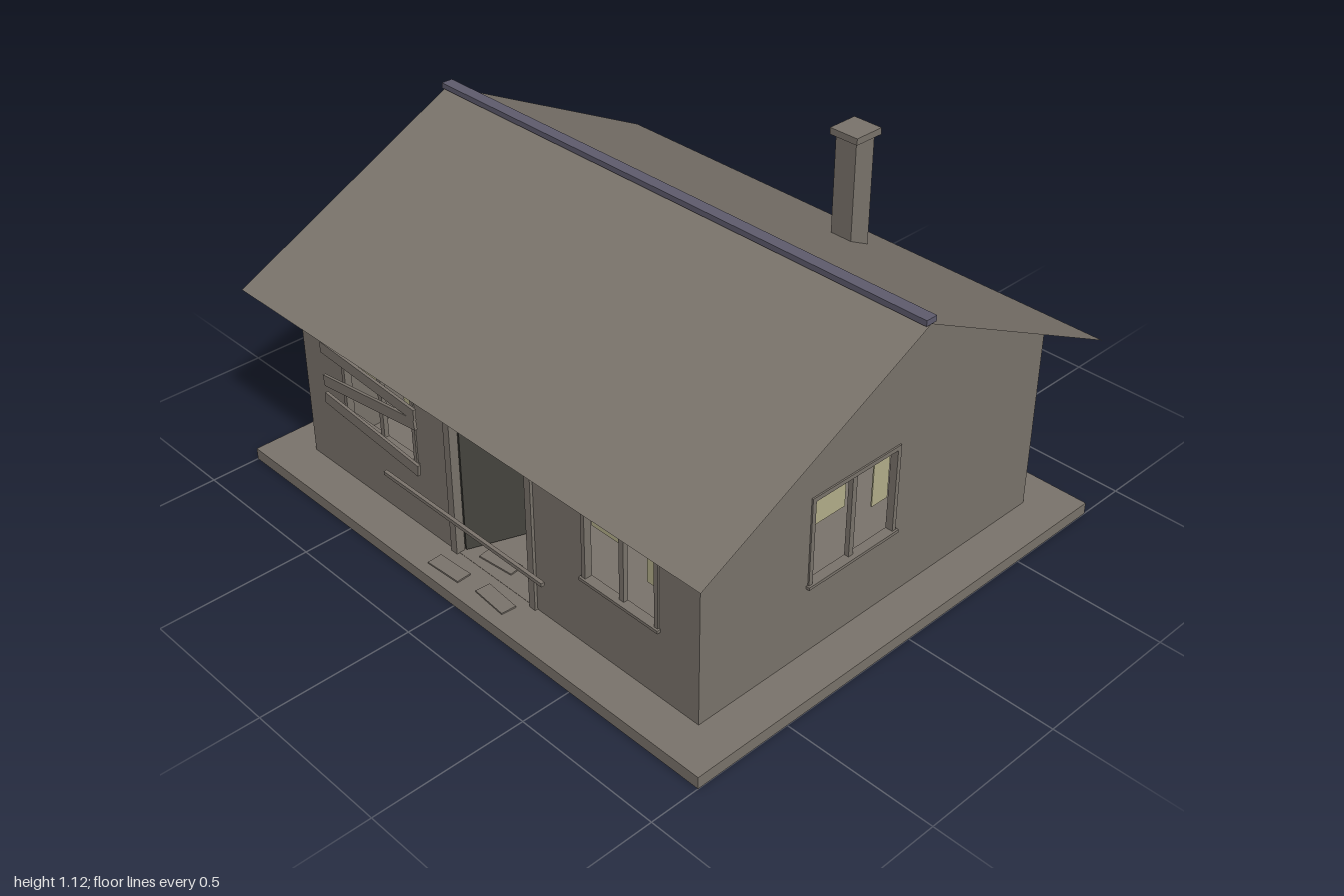
import * as THREE from 'three';

const mat = (name, color, side = THREE.FrontSide) => {
  const m = new THREE.MeshStandardMaterial({ color, side });
  m.name = name;
  return m;
};

export function createModel() {
  const house = new THREE.Group();
  house.name = 'house';
  const stone = mat('weatheredGrey', 0x7b746c);
  const roofing = mat('roofGrey', 0x7b746c, THREE.DoubleSide);
  const ridgeBlue = mat('ridgeBlueGrey', 0x5f5c6e);
  const doorDark = mat('darkDoor', 0x45443e);
  const cloth = mat('paleBlind', 0xb5b08b, THREE.DoubleSide);

  const add = (parent, name, geo, material, x = 0, y = 0, z = 0) => {
    const m = new THREE.Mesh(geo, material);
    m.name = name;
    m.position.set(x, y, z);
    parent.add(m);
    return m;
  };
  // Box given by its minimum and maximum corners
  const box = (parent, name, material, [x0, y0, z0], [x1, y1, z1]) =>
    add(parent, name, new THREE.BoxGeometry(x1 - x0, y1 - y0, z1 - z0), material,
      (x0 + x1) / 2, (y0 + y1) / 2, (z0 + z1) / 2);

  const T = 0.02, BASE = 0.04, EAVE = 0.69, TOP = 1.04;
  const Y0 = 0.28, Y1 = 0.558;

  box(house, 'foundation', stone, [-1, 0, -0.835], [1, BASE, 0.835]);

  // Frame, sill, centre post and blinds; local z = 0 is the outer wall face
  function addWindow(wall, cx, hw, narrowSide) {
    const w = new THREE.Group();
    w.name = 'window';
    w.position.x = cx;
    wall.add(w);
    const f = 0.014;
    for (const s of [-1, 1]) {
      const a = s * hw, b = s * (hw + f);
      box(w, 'frameSide', stone, [Math.min(a, b), Y0, -T], [Math.max(a, b), Y1, 0.005]);
    }
    box(w, 'frameTop', stone, [-hw - f, Y1, -T], [hw + f, Y1 + f, 0.005]);
    box(w, 'sill', stone, [-hw - 0.02, Y0 - 0.01, -T], [hw + 0.02, Y0, 0.012]);
    box(w, 'centrePost', stone, [-0.009, Y0, -T], [0.009, Y1, -0.004]);
    // One wide short blind and one narrow long blind
    const blind = (name, a, b, low) => {
      const x0 = Math.min(a, b) * narrowSide, x1 = Math.max(a, b) * narrowSide;
      box(w, name, cloth, [Math.min(x0, x1), low, -T - 0.006], [Math.max(x0, x1), Y1, -T - 0.002]);
    };
    blind('wideBlind', -hw, -0.1 * hw, 0.45);
    blind('narrowBlind', 0.6 * hw, hw, 0.385);
  }

  // Wall panel with openings, extruded inward from its outer face
  function addWall(name, outline, angle, distance, windows, door) {
    const wall = new THREE.Group();
    wall.name = name;
    wall.rotation.y = angle;
    wall.position.set(Math.sin(angle) * distance, 0, Math.cos(angle) * distance);
    house.add(wall);
    const shape = new THREE.Shape(outline.map(p => new THREE.Vector2(...p)));
    for (const [cx, hw, side] of windows) {
      shape.holes.push(new THREE.Path([
        new THREE.Vector2(cx - hw, Y0), new THREE.Vector2(cx - hw, Y1),
        new THREE.Vector2(cx + hw, Y1), new THREE.Vector2(cx + hw, Y0)]));
      addWindow(wall, cx, hw, side);
    }
    if (door) {
      shape.holes.push(new THREE.Path(door.map(p => new THREE.Vector2(...p))));
    }
    add(wall, name + 'Panel',
      new THREE.ExtrudeGeometry(shape, { depth: T, bevelEnabled: false }), stone, 0, 0, -T);
    return wall;
  }

  const L = 0.865 - T, D = 0.7;
  const long = [[-L, BASE], [L, BASE], [L, EAVE - 0.004], [-L, EAVE - 0.004]];
  const gable = [[-D, BASE], [D, BASE], [D, EAVE - 0.004], [0, TOP - 0.004], [-D, EAVE - 0.004]];
  const doorway = [[-0.14, BASE + 0.001], [-0.14, 0.61], [0.19, 0.61], [0.19, BASE + 0.001]];
  const front = addWall('frontWall', long, 0, D,
    [[-0.4875, 0.163, 1], [0.565, 0.135, 1]], doorway);
  addWall('backWall', long, Math.PI, D, [[0, 0.21, -1]]);
  addWall('leftWall', gable, Math.PI / 2, 0.865, [[-0.11, 0.165, 1]]);
  addWall('rightWall', gable, -Math.PI / 2, 0.865, [[0.11, 0.165, -1]]);

  // Door frame and the door standing open inward
  box(front, 'doorPostRight', stone, [-0.165, BASE, -T], [-0.138, 0.635, 0.01]);
  box(front, 'doorPostLeft', stone, [0.19, BASE, -T], [0.215, 0.635, 0.01]);
  box(front, 'doorLintel', stone, [-0.138, 0.61, -T], [0.19, 0.635, 0.01]);
  const hinge = new THREE.Group();
  hinge.name = 'openDoor';
  hinge.position.set(-0.135, 0, -T);
  hinge.rotation.y = 1.22;
  front.add(hinge);
  box(hinge, 'doorLeaf', doorDark, [0, BASE + 0.008, -0.008], [0.32, 0.585, 0.008]);

  // Roof slopes as thin sheets meeting at the ridge
  const roof = new THREE.BufferGeometry();
  const e = TOP - 0.82 * 0.5, rx = 0.985;
  roof.setAttribute('position', new THREE.Float32BufferAttribute([
    -rx, e, 0.82, rx, e, 0.82, rx, TOP, 0, -rx, TOP, 0,
    rx, e, -0.82, -rx, e, -0.82, -rx, TOP, 0, rx, TOP, 0], 3));
  roof.setIndex([0, 1, 2, 0, 2, 3, 4, 5, 6, 4, 6, 7]);
  roof.computeVertexNormals();
  add(house, 'roof', roof, roofing);
  box(house, 'ridgeCap', ridgeBlue, [-rx, TOP, -0.02], [rx, TOP + 0.018, 0.02]);

  // Chimney
  box(house, 'chimney', stone, [0.173, 0.7, -0.62], [0.253, 1.1, -0.54]);
  box(house, 'chimneyCap', stone, [0.16, 1.1, -0.635], [0.266, 1.122, -0.527]);

  // Crooked boards nailed over the window: heights at the two ends
  for (const [ya, yb] of [[0.513, 0.487], [0.393, 0.455], [0.33, 0.29]]) {
    const board = add(house, 'windowBoard', new THREE.BoxGeometry(0.455, 0.038, 0.01), stone,
      -0.49, (ya + yb) / 2, 0.733);
    board.rotation.z = Math.atan2(yb - ya, 0.45);
  }
  // Loose rail across the doorway
  const rail = add(house, 'doorRail', new THREE.BoxGeometry(0.7, 0.012, 0.012), stone, 0.027, 0.291, 0.81);
  rail.rotation.z = -0.006;

  // Thin loose planks on the ground by the door
  for (const [x, z, turn] of [[-0.02, 0.64, 0.1], [0.1, 0.76, -0.08], [-0.1, 0.77, 0.05]]) {
    const plank = add(house, 'groundPlank', new THREE.BoxGeometry(0.13, 0.005, 0.05), stone, x, BASE + 0.0025, z);
    plank.rotation.y = turn;
  }
  return house;
}
